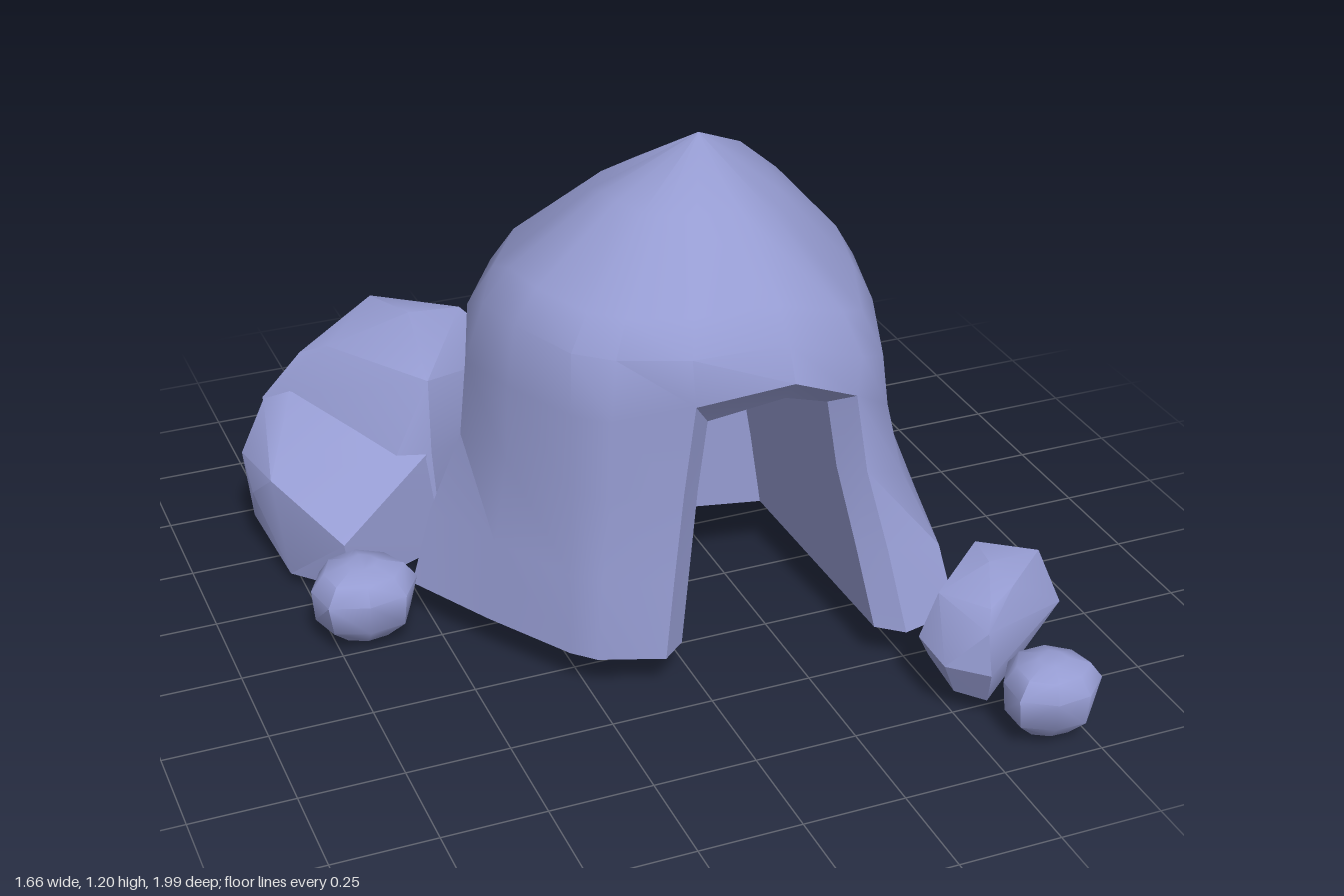
import * as THREE from 'three';
import { toCreasedNormals } from 'three/addons/utils/BufferGeometryUtils.js';
import { ConvexGeometry } from 'three/addons/geometries/ConvexGeometry.js';

const stone = new THREE.MeshStandardMaterial({ color: 0x969cd2, side: THREE.DoubleSide });
const V = (p) => new THREE.Vector3(...p);

// Triangles between neighbouring rows of points, skipping collapsed ones
function skin(rows) {
  const out = [];
  const tri = (a, b, c) => {
    if (a.equals(b) || b.equals(c) || a.equals(c)) return;
    for (const p of [a, b, c]) out.push(p.x, p.y, p.z);
  };
  for (let i = 0; i + 1 < rows.length; i++) {
    const a = rows[i], b = rows[i + 1];
    for (let j = 0; j + 1 < a.length; j++) {
      tri(a[j], a[j + 1], b[j + 1]);
      tri(a[j], b[j + 1], b[j]);
    }
  }
  return out;
}

function makeMesh(name, positions, crease) {
  const g = new THREE.BufferGeometry();
  g.setAttribute('position', new THREE.Float32BufferAttribute(positions, 3));
  const m = new THREE.Mesh(toCreasedNormals(g, crease), stone);
  m.name = name;
  return m;
}

// Angular rock from its corner points
function rock(name, corners, crease = 0.6) {
  const m = new THREE.Mesh(toCreasedNormals(new ConvexGeometry(corners.map(V)), crease), stone);
  m.name = name;
  return m;
}

// Rounded pebble from stacked uneven octagons
function pebble(name, [x, y, z], [rx, ry, rz], turn) {
  const pts = [];
  for (const [h, r] of [[-1, 0.5], [-0.5, 0.9], [0.35, 1], [0.8, 0.75], [1, 0.3]]) {
    for (let i = 0; i < 8; i++) {
      const a = (i / 8) * Math.PI * 2 + turn;
      const k = r * (1 + 0.06 * Math.sin(3 * a + h));
      pts.push([x + rx * k * Math.cos(a), y + ry * h, z + rz * k * Math.sin(a)]);
    }
  }
  return rock(name, pts, 0.75);
}

export function createModel() {
  const group = new THREE.Group();

  // How far each height has moved from foot to eave, per side of the wall
  const flares = {
    left: [0, 0.26, 0.67, 0.76, 1],
    corner: [0, 0.15, 0.45, 0.7, 1],
    back: [0, 0.05, 0.25, 0.6, 1],
    right: [0, 0.24, 0.72, 0.92, 1],
  };
  // Wall ribs from one side of the door round the back to the other:
  // side, foot x, foot z, eave x, eave y, eave z
  const ribs = [
    ['left', -0.24, 0.38, -0.18, 0.86, 0.35],
    ['left', -0.29, 0.33, -0.26, 0.86, 0.28],
    ['left', -0.42, 0.12, -0.33, 0.86, 0.1],
    ['left', -0.54, -0.1, -0.35, 0.85, -0.06],
    ['corner', -0.24, -0.43, -0.29, 0.69, -0.37],
    ['back', -0.1, -0.6, -0.2, 0.76, -0.45],
    ['back', 0.0, -0.56, 0.0, 0.82, -0.465],
    ['back', 0.12, -0.555, 0.14, 0.85, -0.46],
    ['back', 0.4, -0.65, 0.4, 0.84, -0.45],
    ['back', 0.6, -0.6, 0.59, 0.84, -0.42],
    ['right', 0.77, -0.03, 0.59, 0.82, -0.03],
    ['right', 0.69, 0.25, 0.56, 0.78, 0.14],
    ['right', 0.63, 0.51, 0.5, 0.73, 0.32],
  ].map(([side, fx, fz, ex, ey, ez]) => [0, 0.27, 0.54, 0.8, 1].map((t, j) => {
    const f = flares[side][j];
    return V([fx + (ex - fx) * f, 0.1 + (ey - 0.1) * t, fz + (ez - fz) * f]);
  }));
  const doorA = [[-0.09, 0.1, 0.435], [-0.07, 0.3, 0.43], [-0.045, 0.53, 0.425],
    [-0.02, 0.75, 0.43], [-0.03, 0.87, 0.43]].map(V);
  const doorB = [[0.48, 0.1, 0.545], [0.45, 0.3, 0.49], [0.41, 0.5, 0.44],
    [0.38, 0.7, 0.43], [0.4, 0.79, 0.41]].map(V);
  const brow = [[0.2, 0.79, 0.478], [0.2, 0.87, 0.44]].map(V);
  const walls = [doorA, ...ribs, doorB];

  // Domed roof rising from the eave to an off-centre peak
  const apex = V([0.18, 1.2, -0.04]);
  const roof = [...walls.map((r) => r[4]), brow[1], doorA[4]].map((e) => [
    e,
    ...[[0.12, 0.22], [0.55, 0.67]].map(([s, h]) => V([
      e.x + (apex.x - e.x) * s, e.y + (apex.y - e.y) * h, e.z + (apex.z - e.z) * s])),
    apex]);
  const lintel = [doorB.slice(3), brow, doorA.slice(3)];
  group.add(makeMesh('caveShell', [...skin(walls), ...skin(roof), ...skin(lintel)], 0.75));

  // Doorway: bevelled rim, then a passage running deep into the cave
  const outer = [...doorA.slice(0, 4), brow[0], ...doorB.slice(0, 4).reverse()];
  const inner = [[-0.03, 0.1], [-0.01, 0.3], [0.01, 0.5], [0.03, 0.68], [0.2, 0.73],
    [0.33, 0.67], [0.355, 0.5], [0.39, 0.3], [0.42, 0.1]];
  const rim = inner.map(([x, y], i) => V([x, y, outer[i].z - 0.05]));
  const end = inner.map(([x, y]) => V([x + (0.2 - x) * 0.05, y, -0.23 + 0.21 * (x + 0.01)]));
  group.add(makeMesh('doorFrame', skin(outer.map((p, i) => [p, rim[i]])), 0.4));
  group.add(makeMesh('passage', skin(rim.map((p, i) => [p, end[i]])), 0.4));

  // Wall closing the passage, spanned between its two sides
  group.add(makeMesh('passageEnd',
    skin([0, 1, 2, 3, 4].map((i) => [end[i], end[8 - i]])), 0.5));

  // Boulder at the back: a tall block and a lower slab in front of it
  group.add(rock('backBoulder', [
    [-0.62, 0.03, -0.36], [-0.38, 0.02, -0.36], [-0.08, 0, -0.66], [-0.2, 0.02, -0.84],
    [-0.34, 0.02, -0.94], [-0.54, 0.02, -0.83], [-0.74, 0.05, -0.69], [-0.4, 0.3, -0.36],
    [-0.04, 0.17, -0.67], [-0.06, 0.36, -0.68], [-0.34, 0.27, -1], [-0.34, 0.37, -0.985],
    [-0.19, 0.4, -0.86], [-0.74, 0.35, -0.71], [-0.64, 0.47, -0.69], [-0.4, 0.51, -0.86],
    [-0.21, 0.52, -0.69], [-0.39, 0.48, -0.4], [-0.36, 0.55, -0.65], [-0.58, 0.5, -0.64],
  ]));
  group.add(rock('boulderSlab', [
    [-0.78, 0.03, -0.36], [-0.66, 0.04, -0.21], [-0.38, 0.02, -0.36], [-0.8, 0.05, -0.64],
    [-0.83, 0.2, -0.5], [-0.82, 0.24, -0.64], [-0.8, 0.27, -0.42], [-0.68, 0.18, -0.2],
    [-0.4, 0.3, -0.37], [-0.74, 0.35, -0.7], [-0.68, 0.38, -0.66], [-0.5, 0.34, -0.5],
  ]));

  // Rock beside the door
  group.add(rock('doorRock', [
    [0.5, 0.06, 0.75], [0.56, 0.05, 0.8], [0.8, 0.06, 0.6], [0.79, 0.06, 0.54],
    [0.68, 0.07, 0.49], [0.5, 0.08, 0.62], [0.455, 0.16, 0.65], [0.46, 0.15, 0.77],
    [0.54, 0.15, 0.845], [0.835, 0.16, 0.64], [0.81, 0.22, 0.53], [0.68, 0.2, 0.47],
    [0.54, 0.25, 0.82], [0.5, 0.27, 0.65], [0.67, 0.29, 0.51], [0.79, 0.29, 0.6],
    [0.57, 0.28, 0.77], [0.66, 0.285, 0.71], [0.64, 0.31, 0.63],
  ]));

  // Small loose stones
  group.add(pebble('frontPebble', [0.665, 0.11, 0.893], [0.115, 0.09, 0.107], 0.3));
  group.add(pebble('sidePebble', [-0.675, 0.115, -0.067], [0.13, 0.095, 0.118], 0.1));
  return group;
}
